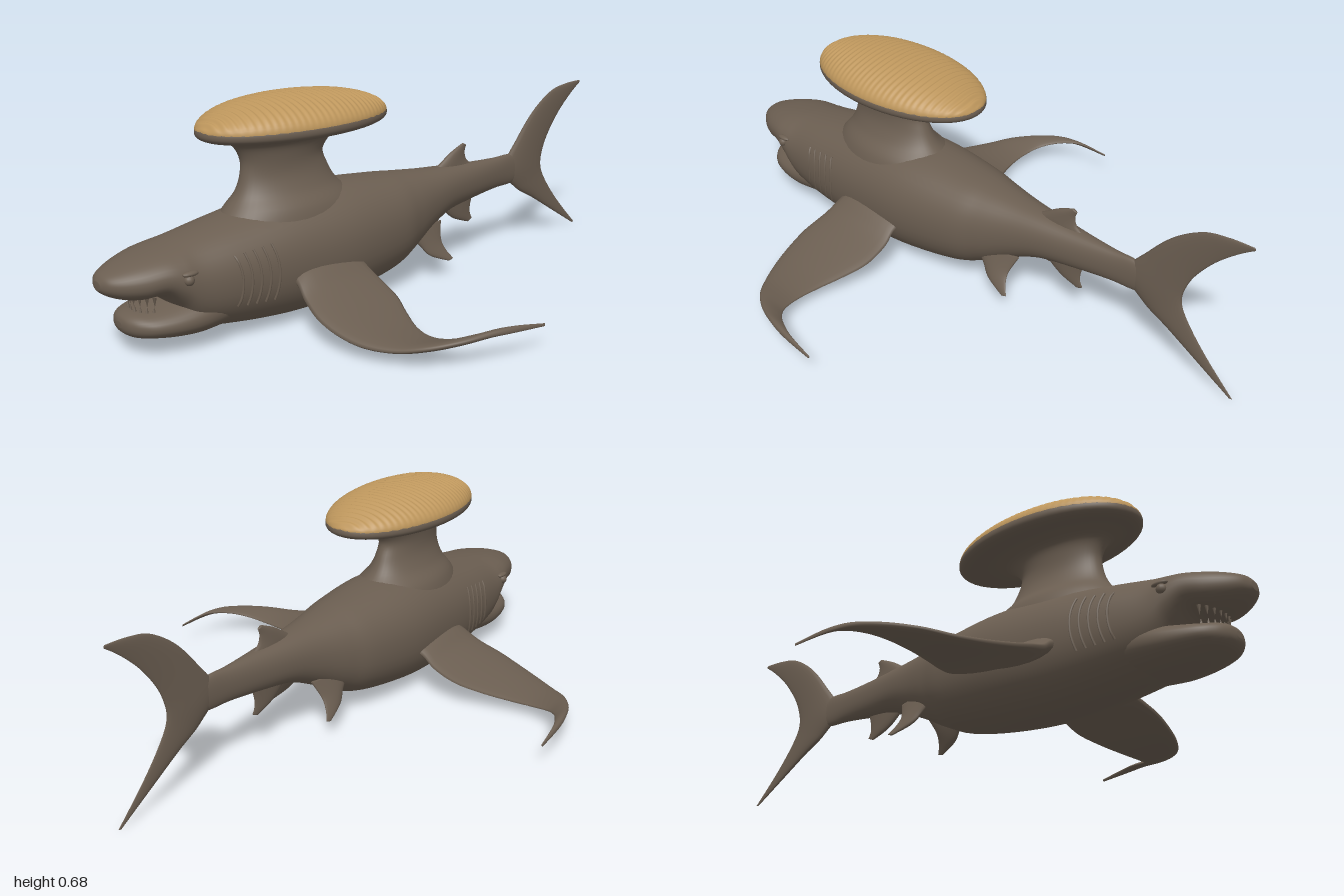
import * as THREE from 'three';

const V = (x, y, z) => new THREE.Vector3(x, y, z);
const pow = (v, e) => Math.sign(v) * Math.abs(v) ** e;

// Catmull-Rom through every column of a short table
function smooth(rows, steps = 6) {
  const out = [], at = (i) => rows[Math.max(0, Math.min(rows.length - 1, i))];
  for (let i = 0; i < rows.length - 1; i++) {
    for (let k = 0; k < steps; k++) {
      const t = k / steps;
      out.push(rows[i].map((b, c) => {
        const a = at(i - 1)[c], d = at(i + 1)[c], e = at(i + 2)[c];
        return b + 0.5 * t * (d - a + t * (2 * a - 5 * b + 4 * d - e + t * (3 * (b - d) + e - a)));
      }));
    }
  }
  out.push(rows[rows.length - 1]);
  return out;
}

// Closed skin over a list of rings, wound so that it faces outward
function loft(rings) {
  const n = rings[0].length, m = rings.length, pts = rings.flat(), tris = [];
  for (let i = 0; i < m - 1; i++) {
    for (let j = 0; j < n; j++) {
      const a = i * n + j, b = i * n + (j + 1) % n;
      tris.push([a, b, a + n], [b, b + n, a + n]);
    }
  }
  for (const [r, flip] of [[0, true], [m - 1, false]]) {
    const c = pts.length;
    pts.push(rings[r].reduce((s, p) => s.add(p), V(0, 0, 0)).divideScalar(n));
    for (let j = 0; j < n; j++) {
      const a = r * n + j, b = r * n + (j + 1) % n;
      tris.push(flip ? [b, a, c] : [a, b, c]);
    }
  }
  let volume = 0;
  for (const [a, b, c] of tris) volume += pts[a].dot(V(0, 0, 0).crossVectors(pts[b], pts[c]));
  if (volume < 0) tris.forEach((t) => t.reverse());
  const g = new THREE.BufferGeometry().setFromPoints(pts);
  g.setIndex(tris.flat());
  g.computeVertexNormals();
  return g;
}

const ring = (n, f) => Array.from({ length: n }, (_, j) => f(j / n * Math.PI * 2));

// Body section from a row of z, top, bottom, half width
const bodyPoint = ([z, top, bot, w], a) => V(
  w * pow(Math.cos(a), 0.88),
  (top + bot) / 2 + (top - bot) / 2 * pow(Math.sin(a), 0.92), z);
const bodyLoft = (rows) => loft(rows.map((r) => ring(40, (a) => bodyPoint(r, a))));

// Lens-shaped fin from rows of leading xyz, trailing xyz, half thickness
function fin(rows, normal) {
  return loft(smooth(rows, 8).map(([ax, ay, az, bx, by, bz, h]) => ring(20, (a) => {
    const t = (1 - Math.cos(a)) / 2;
    return V(ax, ay, az).lerp(V(bx, by, bz), t)
      .addScaledVector(normal, h * Math.sin(a) * (1.15 - 0.5 * t));
  })));
}
const uprightFin = (rows) => fin(rows.map(([az, ay, bz, by, h]) => [0, ay, az, 0, by, bz, h]), V(1, 0, 0));

export function createModel() {
  const model = new THREE.Group();
  const skin = new THREE.MeshStandardMaterial({ color: 0x6b5e51 });
  skin.name = 'brown grey skin';
  const tan = new THREE.MeshStandardMaterial({ color: 0xbd965c });
  tan.name = 'tan ridges';
  const add = (name, geometry, material = skin) => {
    const mesh = new THREE.Mesh(geometry, material);
    mesh.name = name;
    model.add(mesh);
    return mesh;
  };

  // Body with upper jaw: z, top, bottom, half width
  const body = smooth([
    [1.0, 0.24, 0.215, 0.018], [0.985, 0.257, 0.2, 0.05], [0.95, 0.272, 0.183, 0.082], [0.9, 0.287, 0.172, 0.11],
    [0.84, 0.3, 0.17, 0.13], [0.79, 0.31, 0.125, 0.142], [0.73, 0.322, 0.055, 0.15],
    [0.6, 0.345, 0.027, 0.166], [0.4, 0.375, 0.01, 0.181], [0.2, 0.385, 0.018, 0.183],
    [0, 0.372, 0.05, 0.155], [-0.1, 0.362, 0.09, 0.124], [-0.2, 0.352, 0.145, 0.092],
    [-0.3, 0.345, 0.188, 0.068], [-0.42, 0.337, 0.207, 0.046], [-0.55, 0.332, 0.222, 0.026],
    [-0.64, 0.332, 0.226, 0.016], [-0.74, 0.3, 0.25, 0.008],
  ]);
  add('body', bodyLoft(body));

  // Lower jaw
  add('lowerJaw', bodyLoft(smooth([
    [0.6, 0.2, 0.045, 0.13], [0.72, 0.17, 0.037, 0.138], [0.8, 0.15, 0.042, 0.13], [0.87, 0.137, 0.052, 0.108],
    [0.91, 0.132, 0.06, 0.078], [0.932, 0.122, 0.074, 0.045], [0.94, 0.108, 0.09, 0.014],
  ])));

  // Teeth around both jaws
  for (let i = -4; i <= 4; i++) {
    const a = i * 0.27, x = 0.085 * Math.sin(a), z = 0.83 + 0.075 * Math.cos(a);
    const upper = add('upperTooth', new THREE.ConeGeometry(0.007, 0.03, 6));
    upper.rotation.x = Math.PI;
    upper.position.set(x, 0.168, z);
    add('lowerTooth', new THREE.ConeGeometry(0.007, 0.026, 6)).position.set(x * 0.8, 0.138, z - 0.005);
  }

  // Ridged pad: arched slices along z
  const slices = [], count = 200;
  for (let i = 0; i <= count; i++) {
    const u = -Math.cos(i / count * Math.PI) * 0.6 + (i / count * 2 - 1) * 0.4;
    const z = 0.32 + 0.33 * u;
    const w = 0.184 * Math.sqrt(Math.max(0, 1 - u * u)) + 0.002;
    const h = 0.078 * Math.max(0, 1 - Math.abs(u) ** 2.6) ** 0.6 * (1 - 0.12 * Math.max(0, -u)) + 0.002;
    slices.push(ring(48, (a) => {
      const wave = Math.sin(z * 300 + 0.8 * Math.sin(4 * Math.cos(a)));
      const up = Math.max(0, Math.sin(a));
      return V(w * Math.cos(a), 0.602 + h * up + 0.003 * wave * up * Math.min(1, h / 0.03), z);
    }));
  }
  add('ridgedPad', loft(slices), tan);

  // Stem flaring into the rim under the pad: y, front z, back z, half width
  add('padStem', loft(smooth([
    [0.27, 0.64, 0.05, 0.15], [0.35, 0.575, 0.12, 0.128], [0.4, 0.535, 0.175, 0.09], [0.45, 0.517, 0.205, 0.068],
    [0.5, 0.515, 0.22, 0.065], [0.545, 0.54, 0.175, 0.077], [0.565, 0.585, 0.1, 0.115],
    [0.572, 0.63, 0.02, 0.165], [0.585, 0.65, -0.01, 0.185], [0.605, 0.65, -0.01, 0.186], [0.614, 0.635, 0.005, 0.172],
  ], 5).map(([y, f, b, w]) => ring(48, (a) => V(w * Math.cos(a), y, (f + b) / 2 + (f - b) / 2 * Math.sin(a))))));

  // Tail, from upper tip to lower tip: leading z y, trailing z y, half thickness
  add('tailFin', uprightFin([
    [-0.995, 0.557, -1.0, 0.549, 0.002], [-0.92, 0.553, -0.95, 0.512, 0.005], [-0.84, 0.535, -0.885, 0.45, 0.007],
    [-0.75, 0.475, -0.83, 0.375, 0.01], [-0.67, 0.385, -0.804, 0.315, 0.014], [-0.6, 0.28, -0.798, 0.27, 0.018],
    [-0.67, 0.2, -0.812, 0.228, 0.014], [-0.76, 0.148, -0.855, 0.165, 0.01], [-0.87, 0.08, -0.915, 0.095, 0.006],
    [-0.99, 0.006, -1.0, 0.008, 0.002],
  ]));
  add('dorsalFin', uprightFin([
    [-0.25, 0.33, -0.45, 0.325, 0.018], [-0.29, 0.353, -0.415, 0.35, 0.016],
    [-0.34, 0.385, -0.405, 0.378, 0.011], [-0.395, 0.41, -0.412, 0.402, 0.004],
  ]));
  add('analFin', uprightFin([
    [-0.28, 0.22, -0.45, 0.225, 0.016], [-0.315, 0.18, -0.438, 0.185, 0.013],
    [-0.36, 0.147, -0.437, 0.155, 0.009], [-0.425, 0.123, -0.447, 0.133, 0.003],
  ]));

  for (const s of [1, -1]) {
    const side = s > 0 ? 'left' : 'right';

    // Swept wing-like fin: x, y, leading z, trailing z, half thickness
    add(side + 'PectoralFin', fin([
      [0.1, 0.18, 0.45, 0.17, 0.05], [0.18, 0.155, 0.455, 0.19, 0.036], [0.24, 0.12, 0.47, 0.182, 0.026],
      [0.32, 0.09, 0.485, 0.186, 0.021], [0.4, 0.067, 0.478, 0.217, 0.019], [0.48, 0.053, 0.456, 0.247, 0.017],
      [0.56, 0.052, 0.415, 0.258, 0.014], [0.63, 0.065, 0.36, 0.24, 0.012],
    ].map(([x, y, a, b, h]) => [s * x, y, a, s * x, y, b, h]).concat([
      [s * 0.685, 0.08, 0.283, s * 0.675, 0.082, 0.2, 0.011], [s * 0.72, 0.092, 0.2, s * 0.708, 0.095, 0.145, 0.01],
      [s * 0.738, 0.09, 0.12, s * 0.728, 0.096, 0.09, 0.008], [s * 0.746, 0.08, 0.005, s * 0.742, 0.083, 0, 0.004],
    ]), V(0, 1, 0)));

    add(side + 'PelvicFin', fin([
      [s * 0.075, 0.18, -0.06, s * 0.06, 0.18, -0.24, 0.016], [s * 0.09, 0.125, -0.115, s * 0.085, 0.125, -0.218, 0.013],
      [s * 0.105, 0.085, -0.15, s * 0.105, 0.09, -0.223, 0.009], [s * 0.122, 0.056, -0.22, s * 0.122, 0.062, -0.24, 0.003],
    ], V(0.9, 0.3 * s, 0)));

    // Eye bump and brow
    const eye = add(side + 'Eye', new THREE.SphereGeometry(0.016, 16, 12));
    eye.position.set(s * 0.137, 0.232, 0.79);
    const brow = add(side + 'Brow', new THREE.SphereGeometry(0.02, 16, 10));
    brow.scale.set(0.6, 0.4, 1.3);
    brow.position.set(s * 0.137, 0.25, 0.785);

    // Gill folds following the flank
    for (let i = 0; i < 5; i++) {
      const points = [];
      for (let k = 0; k <= 8; k++) {
        const z = 0.64 - i * 0.03 - 0.012 * Math.sin(k / 8 * Math.PI);
        const row = body.reduce((a, b) => (Math.abs(b[0] - z) < Math.abs(a[0] - z) ? b : a));
        const p = bodyPoint([z, ...row.slice(1)], -0.4 + k * 0.12);
        points.push(V(p.x * s, p.y, z));
      }
      add(side + 'GillFold', new THREE.TubeGeometry(new THREE.CatmullRomCurve3(points), 16, 0.004, 6));
    }
  }
  return model;
}
